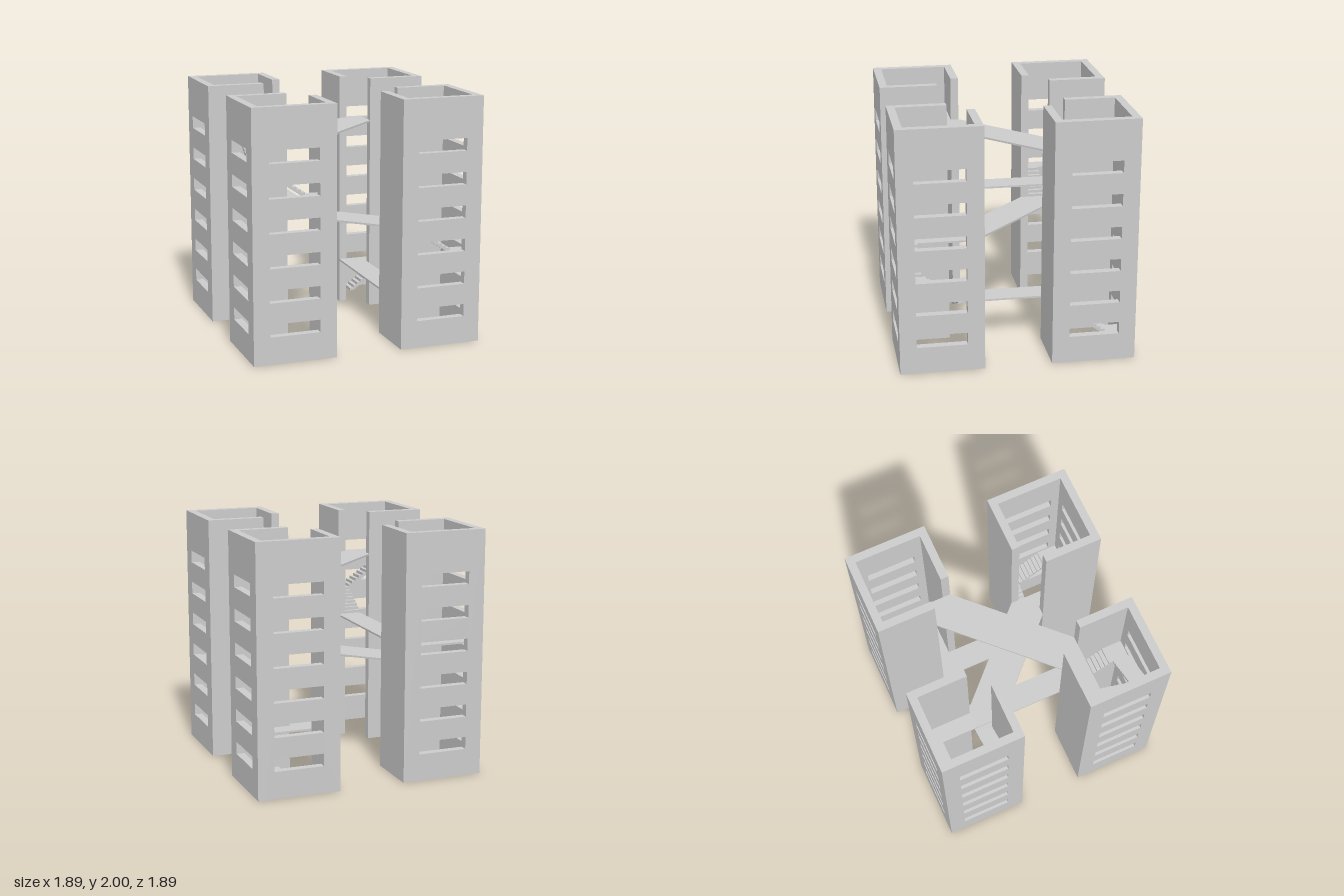
import * as THREE from 'three';

const MAT = new THREE.MeshStandardMaterial({ color: 0xcccccc, flatShading: true });
const IN = 0.27, OUT = 0.944, WALL = 0.065, DOOR = 0.472, HEIGHT = 2;
const CENTRE = (IN + OUT) / 2;          // middle of a tower
const HALF = (OUT - IN) / 2 - WALL;     // half of the inner room
const WELL = CENTRE - DOOR;             // half of the open stairwell
const LANE = HALF - WELL;               // width of stairs and walkways
const SLAB = 0.015, STEPS = 8;
// walking levels of the bridges
const LOW = 0.384, MID = 0.912, HIGH = 1.093, TOP = 1.643;

function add(parent, name, geometry) {
  const mesh = new THREE.Mesh(geometry, MAT);
  mesh.name = name;
  parent.add(mesh);
  return mesh;
}

// box given by its limits on each axis
function box(parent, name, x0, x1, y0, y1, z0, z1) {
  const g = new THREE.BoxGeometry(x1 - x0, y1 - y0, z1 - z0);
  g.translate((x0 + x1) / 2, (y0 + y1) / 2, (z0 + z1) / 2);
  return add(parent, name, g);
}

const polygon = (pts) => new THREE.Shape(pts.map(([x, y]) => new THREE.Vector2(x, y)));
const rect = (a, b, c, d) => [[a, c], [b, c], [b, d], [a, d]];
const extrude = (shape, depth) => new THREE.ExtrudeGeometry(shape, { depth, bevelEnabled: false });

// wall with a column of six window openings
function windowWall(parent, name, a, b, w0, w1) {
  const shape = polygon(rect(a, b, 0, HEIGHT));
  for (let i = 0; i < 6; i++) {
    const y = 0.221 + i * 0.27;
    shape.holes.push(polygon(rect(w0, w1, y, y + 0.101)));
  }
  return add(parent, name, extrude(shape, WALL));
}

// flight of steps rising along +x with a sloped underside
function flight(parent, y0, y1) {
  const tread = 2 * WELL / STEPS, rise = (y1 - y0) / STEPS;
  const pts = [[tread, 0], [2 * WELL, y1 - y0 - rise]];
  for (let i = STEPS; i > 0; i--) pts.push([i * tread, i * rise], [(i - 1) * tread, i * rise]);
  pts.push([0, 0]);
  add(parent, 'stairFlight', extrude(polygon(pts), LANE)).position.set(-WELL, y0, -HALF);
}

// shaft with windows in its outer walls and a full-height slot at the inner corner
function tower(name) {
  const g = new THREE.Group();
  g.name = name;
  windowWall(g, 'outerWall', IN, OUT, 0.406, 0.81).position.z = OUT - WALL;
  const side = windowWall(g, 'outerWall', -(OUT - WALL), -IN, -0.81, -0.406);
  side.rotation.y = Math.PI / 2;
  side.position.x = OUT - WALL;
  box(g, 'innerWall', IN, IN + WALL, 0, HEIGHT, DOOR, OUT - WALL);
  box(g, 'innerWall', DOOR, OUT - WALL, 0, HEIGHT, IN, IN + WALL);
  return g;
}

// stairs and walkways around the well; levels are those at the ends of the sides
function circuit(parent, firstSide, levels, narrowSide = -1) {
  for (let s = firstSide; s < 4; s++) {
    const y0 = levels[s - firstSide], y1 = levels[s - firstSide + 1];
    const side = new THREE.Group();
    side.name = 'stairSide';
    side.position.set(CENTRE, 0, CENTRE);
    side.rotation.y = -s * Math.PI / 2;
    parent.add(side);
    const width = s === narrowSide ? 0.11 : LANE;
    if (y1 > y0) flight(side, y0, y1);
    else box(side, 'walkway', -WELL, WELL, y1 - SLAB, y1, -HALF, -HALF + width);
    if (s < 3) box(side, 'landing', WELL, HALF, y1 - SLAB, y1, -HALF, -WELL);
  }
}

const lerp = (a, b, t) => a + (b - a) * t;
const climb = (a, b, n) => Array.from({ length: n + 1 }, (_, i) => lerp(a, b, i / n));

export function createModel() {
  const model = new THREE.Group();
  model.name = 'towersWithBridges';

  // towers, each turned a quarter further, with their own stairs
  const towers = [
    ['frontLeftTower', 0, [...climb(LOW, MID, 3), MID]],
    ['backLeftTower', 1, [...climb(0, LOW, 2), LOW]],
    ['backRightTower', 0, [MID, HIGH, HIGH, HIGH, HIGH], 2],
    ['frontRightTower', 0, [...climb(HIGH, TOP, 3), TOP]],
  ];
  towers.forEach(([name, first, levels, narrow], i) => {
    const t = tower(name);
    circuit(t, first, levels, narrow);
    t.rotation.y = i * Math.PI / 2;
    model.add(t);
  });

  // straight bridges along the sides
  box(model, 'sideBridge', IN, DOOR, LOW - SLAB, LOW, -DOOR, DOOR);
  box(model, 'sideBridge', -DOOR, -IN, HIGH - SLAB, HIGH, -DOOR, DOOR);

  // diagonal bridges crossing at the middle
  const diagonal = polygon([[IN, DOOR], [-DOOR, -IN], [-DOOR, -DOOR], [-IN, -DOOR], [DOOR, IN], [DOOR, DOOR]]);
  [[MID, 0], [TOP, Math.PI / 2]].forEach(([y, turn]) => {
    const geo = extrude(diagonal, SLAB);
    geo.rotateX(Math.PI / 2);
    geo.rotateY(turn);
    add(model, 'diagonalBridge', geo).position.y = y;
  });
  return model;
}
